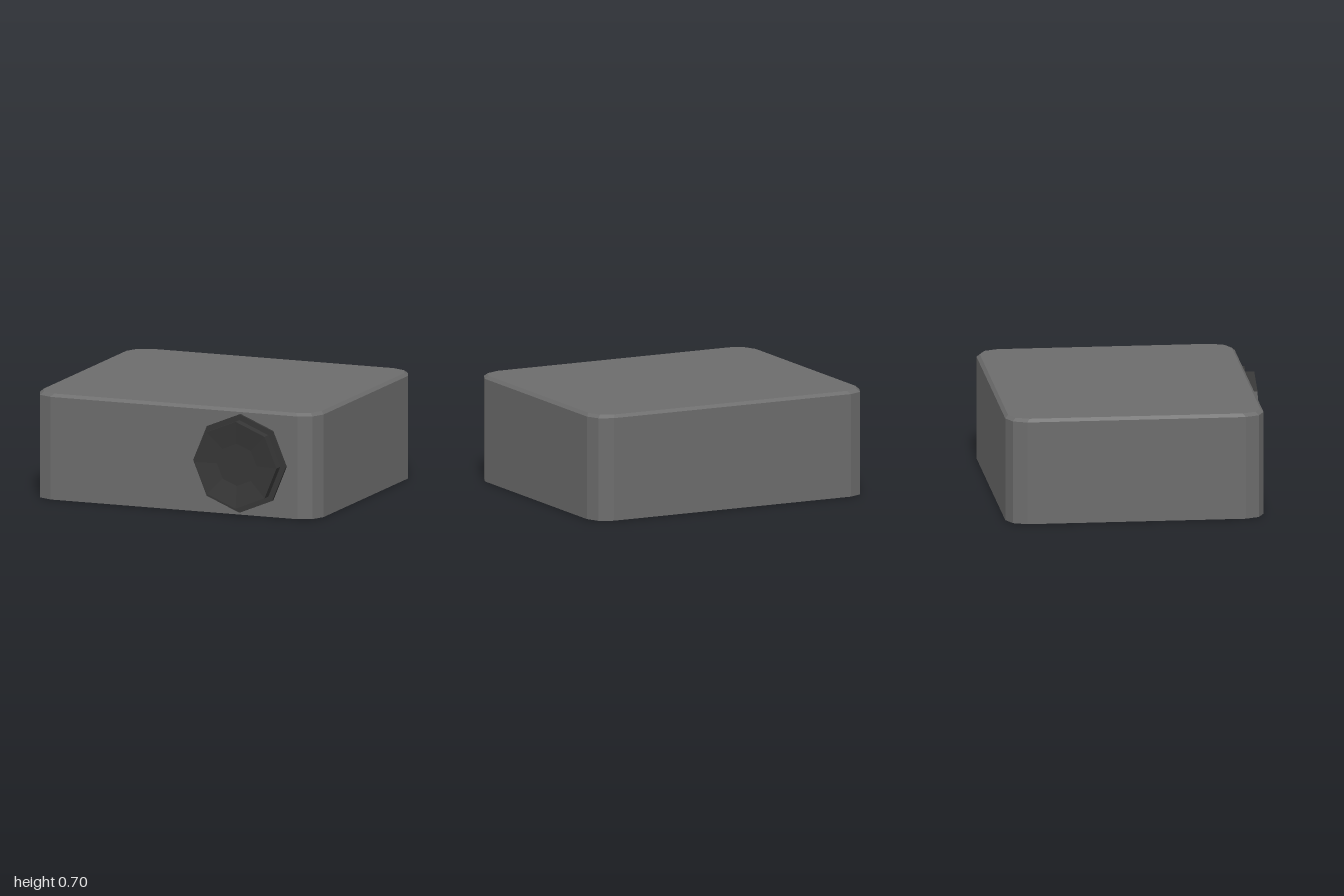
import * as THREE from 'three';

export function createModel() {
  const model = new THREE.Group();
  const casing = new THREE.MeshStandardMaterial({ color: 0x6c6c6c, flatShading: true });
  casing.name = 'casing grey';
  const dark = new THREE.MeshStandardMaterial({ color: 0x363636, flatShading: true });
  dark.name = 'dial charcoal';

  // Casing: rectangle with two-step corners, extruded upward
  const halfW = 1, halfD = 0.845, height = 0.7, midZ = -0.043;
  const corner = [[0, 0.13], [0.04, 0.04], [0.13, 0]];
  const points = [];
  for (const [sx, sy] of [[1, -1], [1, 1], [-1, 1], [-1, -1]]) {
    const steps = sx * sy > 0 ? corner : [...corner].reverse();
    for (const [a, b] of steps) points.push(new THREE.Vector2(sx * (halfW - a), sy * (halfD - b)));
  }
  const bodyGeo = new THREE.ExtrudeGeometry(new THREE.Shape(points), { depth: height, steps: 2, bevelEnabled: false });

  // Raise the middle ring and draw in the top ring to make the upper chamfer
  const pos = bodyGeo.attributes.position;
  const bevel = 0.02;
  for (let i = 0; i < pos.count; i++) {
    const h = pos.getZ(i);
    if (h > height * 0.9) {
      pos.setX(i, pos.getX(i) * (1 - bevel / halfW));
      pos.setY(i, pos.getY(i) * (1 - bevel / halfD));
    } else if (h > height * 0.1) {
      pos.setZ(i, height - bevel);
    }
  }
  bodyGeo.rotateX(-Math.PI / 2);
  bodyGeo.computeVertexNormals();
  const body = new THREE.Mesh(bodyGeo, casing);
  body.name = 'casing';
  body.position.z = midZ;
  model.add(body);

  // Dial: octagonal flange and barrel with a shallow dished face
  const profile = [[0.326, 0], [0.326, 0.02], [0.288, 0.02], [0.288, 0.084], [0.14, 0.066], [0, 0.066]];
  const dialGeo = new THREE.LatheGeometry(profile.map(([r, h]) => new THREE.Vector2(r, h)), 8).toNonIndexed();
  dialGeo.rotateX(Math.PI / 2);
  dialGeo.computeVertexNormals();
  const dial = new THREE.Mesh(dialGeo, dark);
  dial.name = 'frontDial';
  dial.position.set(0.47, 0.342, midZ + halfD);
  model.add(dial);

  return model;
}
